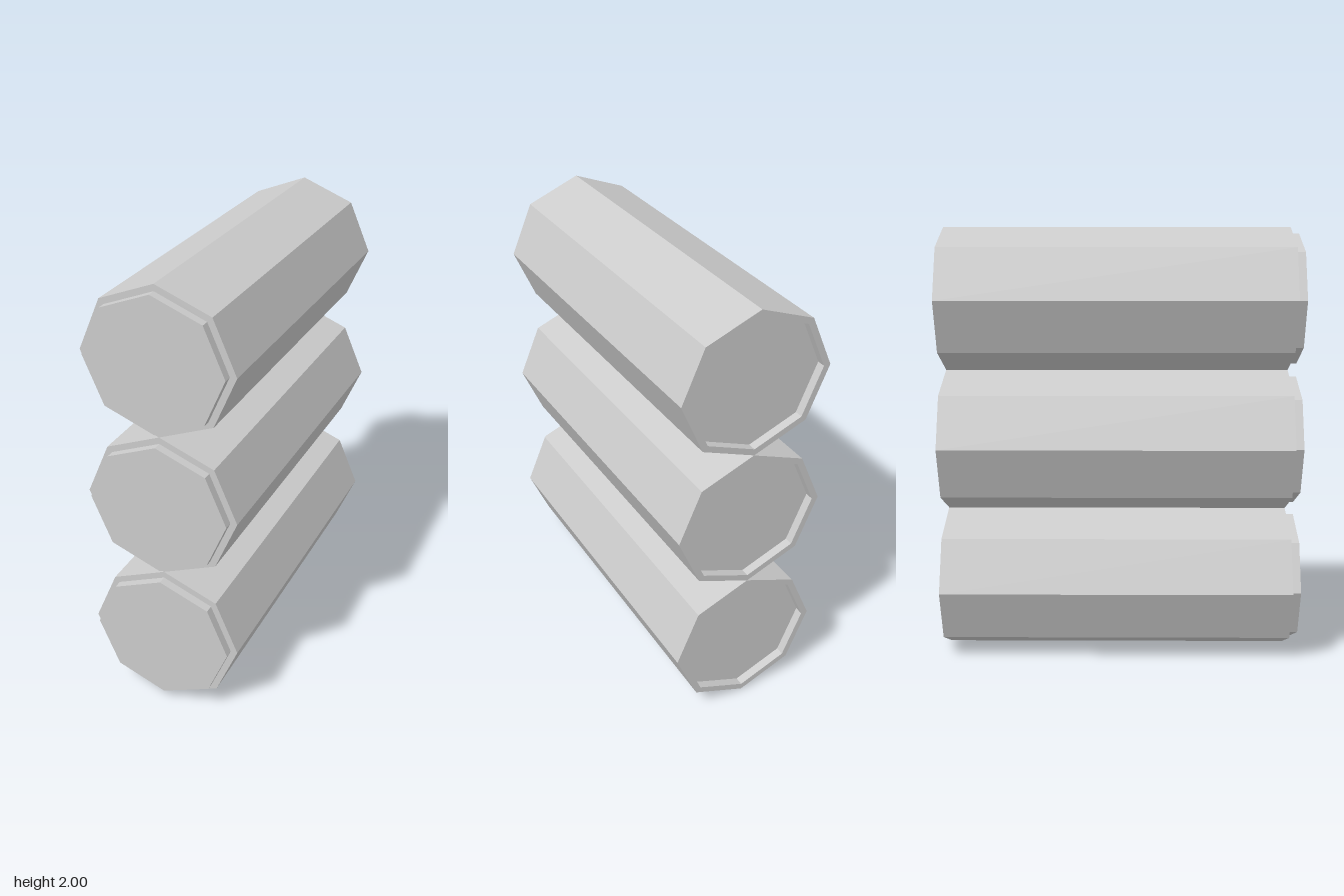
import * as THREE from 'three';

const RX = 0.35, RY = 1 / 3; // half width and half height of one tube
const INNER = 0.91;          // plug and recess size relative to the tube
const BACK = -0.83, SHOULDER = 0.79, FRONT = 0.83, RECESS = 0.04;

// Eight-sided solid along z from a profile of [relative radius, z] points
function octagonal(name, profile, material) {
  const points = profile.map(([r, z]) => new THREE.Vector2(r, z));
  const geometry = new THREE.LatheGeometry(points, 8);
  geometry.rotateX(Math.PI / 2);
  geometry.scale(RX, RY, 1);
  const mesh = new THREE.Mesh(geometry, material);
  mesh.name = name;
  return mesh;
}

export function createModel() {
  const model = new THREE.Group();
  model.name = 'stackedTubes';
  const material = new THREE.MeshStandardMaterial({ color: 0xcccccc, flatShading: true });

  // Three identical tubes stacked point to point
  for (let i = 0; i < 3; i++) {
    const tube = new THREE.Group();
    tube.name = `tube${i + 1}`;
    tube.position.y = RY * (2 * i + 1);

    // Long body with a front shoulder and a rear rim
    tube.add(octagonal('body', [
      [INNER, BACK], [1, BACK], [1, SHOULDER], [INNER, SHOULDER],
    ], material));

    // Raised plug at the front
    tube.add(octagonal('frontPlug', [
      [INNER, SHOULDER], [INNER, FRONT], [0, FRONT],
    ], material));

    // Shallow socket at the back
    tube.add(octagonal('backSocket', [
      [0, BACK + RECESS], [INNER, BACK + RECESS], [INNER, BACK],
    ], material));

    model.add(tube);
  }
  return model;
}
